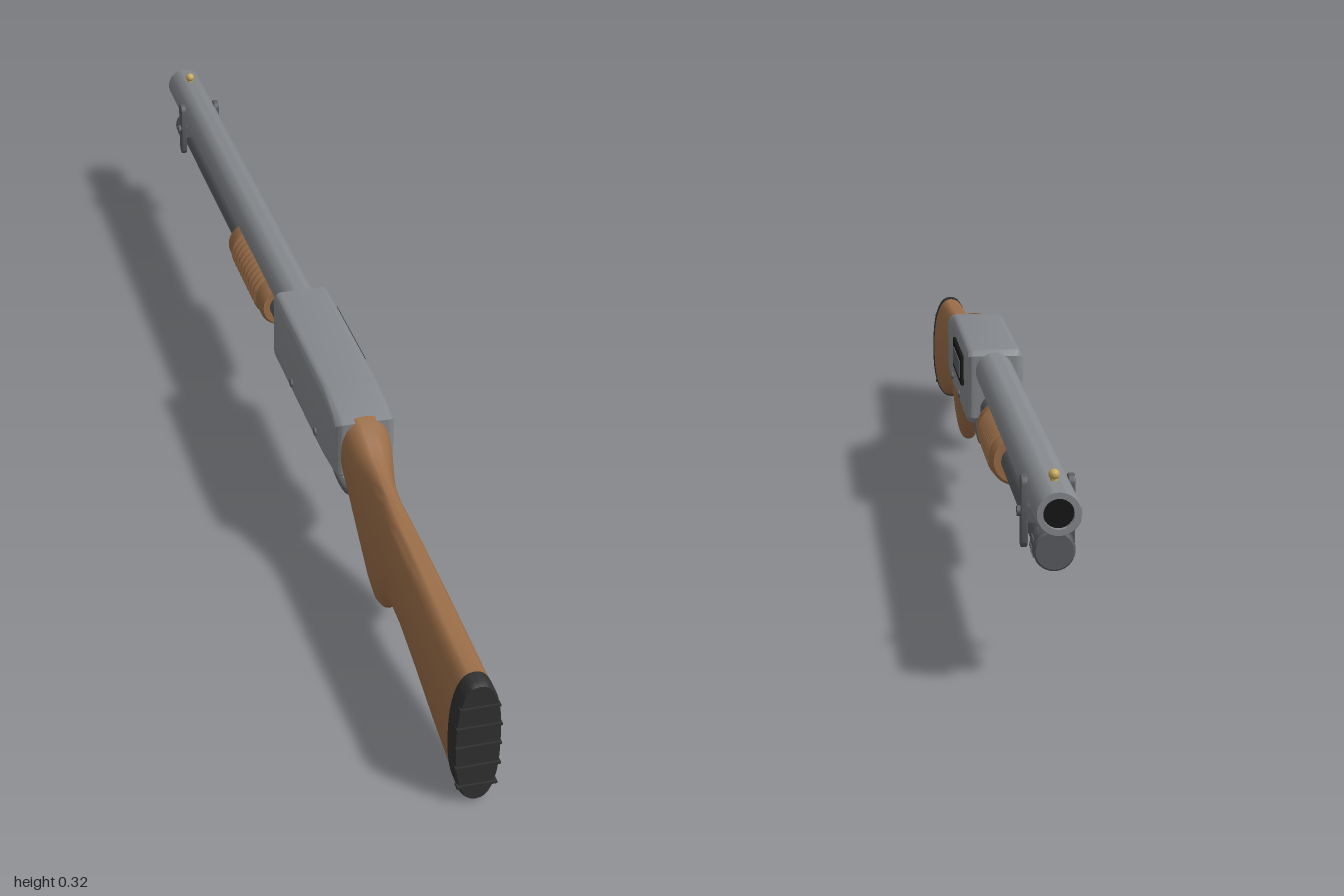
import * as THREE from 'three';
import { toCreasedNormals } from 'three/addons/utils/BufferGeometryUtils.js';

const mat = (color) => new THREE.MeshStandardMaterial({ color });

export function createModel() {
  const model = new THREE.Group();
  const steel = mat(0x85888c), gunmetal = mat(0x5a5c60), dark = mat(0x303030);
  const black = mat(0x151515), wood = mat(0x9a6d48), brass = mat(0xc9a85a);

  const add = (name, geometry, material, x = 0, y = 0, z = 0) => {
    const mesh = new THREE.Mesh(geometry, material);
    mesh.name = name;
    mesh.position.set(x, y, z);
    model.add(mesh);
    return mesh;
  };

  // Turned part along z; profile is [radius, z] running towards -z
  const turned = (profile, sides = 32) => {
    const g = new THREE.LatheGeometry(profile.map(([r, z]) => new THREE.Vector2(r, -z)), sides);
    return toCreasedNormals(g.rotateX(-Math.PI / 2), 0.6);
  };

  // Side outline of [z, y] points, extruded across x with rounded edges
  const slab = (outline, width, bevel, segments = 4) => {
    const shape = new THREE.Shape(outline.map(([z, y]) => new THREE.Vector2(-z, y)));
    const g = new THREE.ExtrudeGeometry(shape, {
      depth: width - 2 * bevel, bevelThickness: bevel, bevelSize: bevel,
      bevelOffset: -bevel, bevelSegments: segments,
    });
    g.translate(0, 0, bevel - width / 2).rotateY(Math.PI / 2);
    return toCreasedNormals(g, 0.5);
  };

  // Loft of rounded sections [z, top, bottom, halfWidth], closed at both ends
  const loft = (sections, power, sides = 36) => {
    const pos = [], index = [];
    const bend = (v) => Math.sign(v) * Math.abs(v) ** (2 / power);
    for (const [z, top, bottom, w] of sections) {
      for (let i = 0; i < sides; i++) {
        const a = (i / sides) * Math.PI * 2;
        pos.push(w * bend(Math.cos(a)), (top + bottom) / 2 + (top - bottom) / 2 * bend(Math.sin(a)), z);
      }
    }
    const last = (sections.length - 1) * sides;
    for (let s = 0; s < sections.length - 1; s++) {
      for (let i = 0; i < sides; i++) {
        const a = s * sides + i, b = s * sides + (i + 1) % sides;
        index.push(a, b, a + sides, b, b + sides, a + sides);
      }
    }
    for (let i = 1; i < sides - 1; i++) {
      index.push(0, i + 1, i, last, last + i, last + i + 1);
    }
    const g = new THREE.BufferGeometry();
    g.setAttribute('position', new THREE.Float32BufferAttribute(pos, 3));
    g.setIndex(index);
    return toCreasedNormals(g, 0.7);
  };

  // Receiver, ejection port and loading port
  add('receiver', slab([
    [0.39, 0.19], [0.38, 0.183], [0.3, 0.174], [-0.03, 0.174], [-0.04, 0.184],
    [-0.04, 0.294], [-0.03, 0.304], [0.29, 0.304], [0.36, 0.295], [0.39, 0.287],
  ], 0.1, 0.014), steel);
  add('ejectionPort', new THREE.BoxGeometry(0.012, 0.052, 0.18), black, 0.049, 0.258, 0.1);
  add('bolt', new THREE.BoxGeometry(0.012, 0.03, 0.136), gunmetal, 0.0505, 0.256, 0.1);
  add('loadingPort', new THREE.BoxGeometry(0.062, 0.008, 0.15), black, 0, 0.1755, 0.065);
  for (const z of [0.1, 0.26]) {
    add('receiverPin', new THREE.CylinderGeometry(0.007, 0.007, 0.106, 12).rotateZ(Math.PI / 2), gunmetal, 0, 0.198, z);
  }

  // Barrel with open bore
  add('barrel', turned([[0, -0.02], [0.033, -0.02], [0.033, -0.995], [0.031, -1], [0.022, -1], [0.022, -0.9]]), steel, 0, 0.267, 0);
  add('bore', turned([[0.0218, -0.9], [0.0218, -0.992], [0, -0.992]]), black, 0, 0.267, 0);
  add('frontSight', new THREE.SphereGeometry(0.008, 16, 12), brass, 0, 0.308, -0.937);
  add('sightPost', new THREE.CylinderGeometry(0.005, 0.006, 0.012, 12), brass, 0, 0.301, -0.937);

  // Magazine tube and its fluted end cap
  add('magazineTube', turned([[0, -0.02], [0.025, -0.02], [0.025, -0.91], [0, -0.91]]), gunmetal, 0, 0.2, 0);
  add('magazineCap', turned([[0, -0.895], [0.026, -0.895], [0.03, -0.9], [0.03, -0.946], [0.027, -0.95], [0, -0.95]], 24), gunmetal, 0, 0.2, 0);
  for (let i = 0; i < 16; i++) {
    const a = (i / 16) * Math.PI * 2;
    add('capRib', new THREE.BoxGeometry(0.004, 0.004, 0.03), gunmetal,
      0.0295 * Math.cos(a), 0.2 + 0.0295 * Math.sin(a), -0.918).rotation.z = a;
  }

  // Clamp joining barrel and tube
  const strap = [];
  for (let i = 0; i <= 20; i++) {
    const a = (i % 21 / 20) * Math.PI * 2;
    if (i < 20) strap.push([0.013 * Math.cos(a), (Math.sin(a) >= 0 ? 0.276 : 0.194) + 0.013 * Math.sin(a)]);
  }
  for (const s of [-1, 1]) {
    add('clampPlate', slab(strap, 0.01, 0.002, 2), gunmetal, s * 0.034, 0, -0.855);
    add('clampScrew', new THREE.CylinderGeometry(0.008, 0.008, 0.008, 12).rotateZ(Math.PI / 2), gunmetal, s * 0.04, 0.235, -0.855);
  }
  add('clampBridge', new THREE.BoxGeometry(0.066, 0.024, 0.026), gunmetal, 0, 0.232, -0.855);
  add('clampLug', new THREE.BoxGeometry(0.02, 0.02, 0.08), gunmetal, 0, 0.234, -0.9);

  // Ribbed pump grip
  const grip = [[0.024, -0.158], [0.037, -0.158], [0.042, -0.166], [0.042, -0.196]];
  for (let i = 0; i < 10; i++) {
    const z = -0.198 - i * 0.0185;
    grip.push([0.039, z - 0.002], [0.039, z - 0.005], [0.045, z - 0.009], [0.045, z - 0.014], [0.039, z - 0.0175]);
  }
  grip.push([0.042, -0.386], [0.042, -0.414], [0.037, -0.422], [0.024, -0.422]);
  add('pumpGrip', turned(grip), wood, 0, 0.2, 0);

  // Trigger guard and trigger
  const guard = [];
  for (let i = 0; i < 32; i++) {
    const a = (i / 32) * Math.PI * 2;
    guard.push(new THREE.Vector3(0, 0.126 + 0.047 * Math.sin(a), 0.24 + 0.083 * Math.cos(a)));
  }
  add('triggerGuard', new THREE.TubeGeometry(new THREE.CatmullRomCurve3(guard, true), 64, 0.006, 10, true), gunmetal);
  const triggerPath = new THREE.CatmullRomCurve3([
    [0.182, 0.22], [0.155, 0.222], [0.13, 0.235], [0.108, 0.257],
  ].map(([y, z]) => new THREE.Vector3(0, y, z)));
  add('trigger', new THREE.TubeGeometry(triggerPath, 16, 0.006, 10), gunmetal);

  // Stock with pistol grip
  const key = [
    [0.38, 0.293, 0.18, 0.042], [0.4, 0.288, 0.155, 0.041], [0.43, 0.271, 0.112, 0.037],
    [0.46, 0.258, 0.062, 0.032], [0.49, 0.25, 0.026, 0.029], [0.515, 0.245, 0.015, 0.028],
    [0.54, 0.241, 0.024, 0.028], [0.565, 0.238, 0.05, 0.029], [0.59, 0.236, 0.068, 0.029],
    [0.62, 0.233, 0.076, 0.03], [0.68, 0.23, 0.074, 0.031], [0.76, 0.226, 0.058, 0.033],
    [0.86, 0.22, 0.032, 0.035], [0.967, 0.215, 0.006, 0.036],
  ];
  add('stock', loft(key, 2.4), wood);

  // Recoil pad with cross ridges
  add('recoilPad', loft([
    [0.965, 0.216, 0.003, 0.037], [0.988, 0.216, 0, 0.037], [0.996, 0.212, 0.004, 0.034],
  ], 2.4), dark);
  for (const y of [0.032, 0.068, 0.105, 0.14, 0.175]) {
    const w = y < 0.04 || y > 0.17 ? 0.062 : 0.07;
    add('padRidge', new THREE.BoxGeometry(w, 0.004, 0.012), dark, 0, y, 0.994);
  }
  return model;
}
